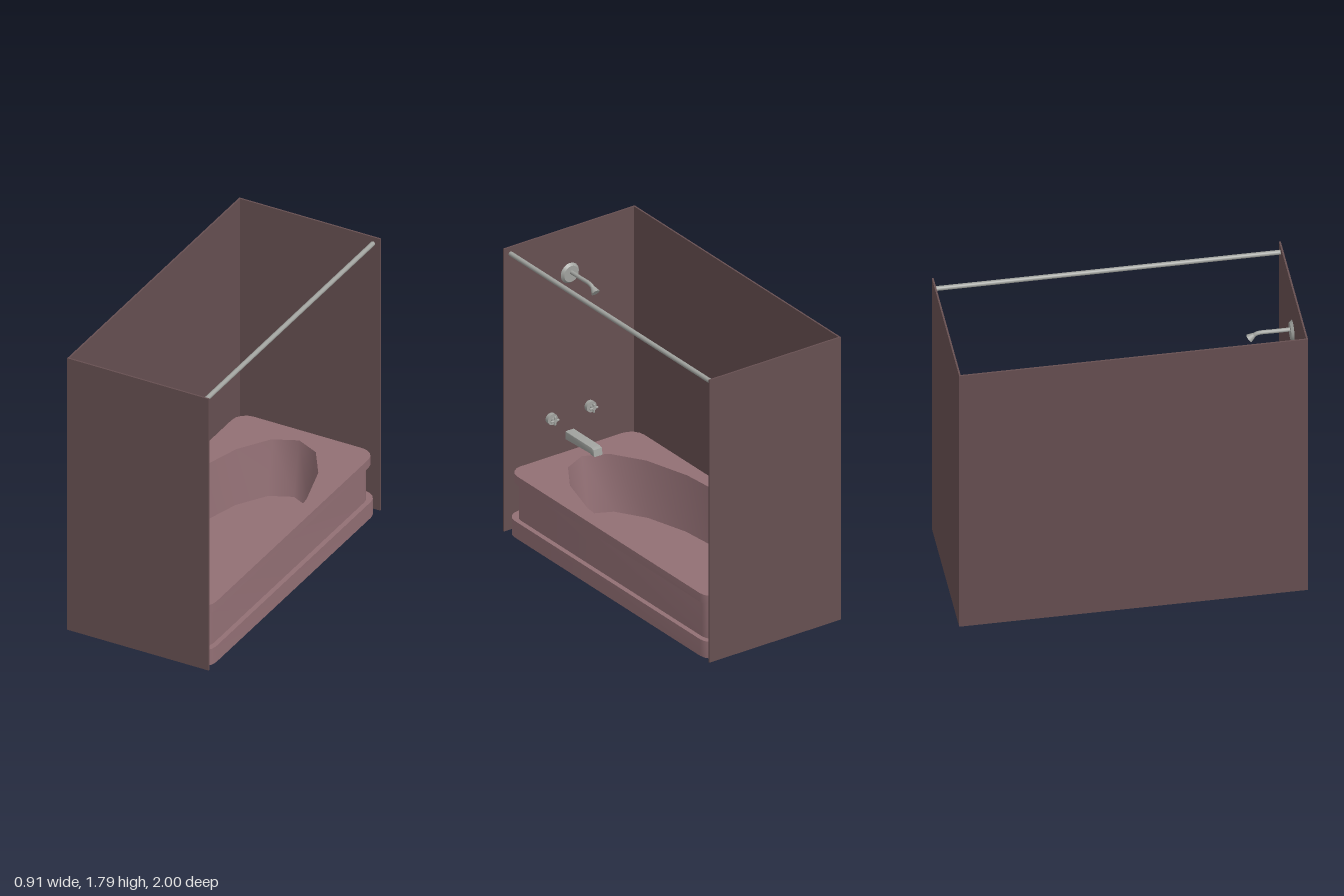
import * as THREE from 'three';
import { toCreasedNormals } from 'three/addons/utils/BufferGeometryUtils.js';

const material = (color) => new THREE.MeshStandardMaterial({ color });

function add(parent, name, geometry, mat, x = 0, y = 0, z = 0) {
  const mesh = new THREE.Mesh(geometry, mat);
  mesh.name = name;
  mesh.position.set(x, y, z);
  parent.add(mesh);
  return mesh;
}

// Rounded rectangle outline in x and z, from half sizes and corner radius
function roundedRect(hx, hz, r, n = 4) {
  const pts = [];
  for (let q = 0; q < 4; q++) {
    const cx = (q === 0 || q === 3 ? 1 : -1) * (hx - r);
    const cz = (q < 2 ? 1 : -1) * (hz - r);
    for (let i = 0; i <= n; i++) {
      const a = (q + i / n) * Math.PI / 2;
      pts.push(new THREE.Vector2(cx + r * Math.cos(a), cz + r * Math.sin(a)));
    }
  }
  return pts;
}

function ellipse(rx, rz, n = 16) {
  return Array.from({ length: n }, (_, i) => {
    const a = (i / n) * Math.PI * 2;
    return new THREE.Vector2(rx * Math.cos(a), rz * Math.sin(a));
  });
}

// Joins horizontal rings; faces point outward when rings run upward
function loft(rings) {
  const pos = [], index = [], n = rings[0].pts.length;
  rings.forEach(({ y, pts }) => pts.forEach((p) => pos.push(p.x, y, p.y)));
  for (let i = 0; i < rings.length - 1; i++) {
    for (let j = 0; j < n; j++) {
      const a = i * n + j, b = i * n + (j + 1) % n;
      index.push(a, a + n, b + n, a, b + n, b);
    }
  }
  const g = new THREE.BufferGeometry();
  g.setAttribute('position', new THREE.Float32BufferAttribute(pos, 3));
  g.setIndex(index);
  g.computeVertexNormals();
  return g;
}

// Flat upward-facing panel with an optional hole
function panel(outline, hole) {
  const shape = new THREE.Shape(outline);
  if (hole) shape.holes.push(new THREE.Path(hole));
  return new THREE.ShapeGeometry(shape).rotateX(-Math.PI / 2);
}

// Cylinder lying along z
const cylinderZ = (rFront, rBack, length, sides = 20) =>
  new THREE.CylinderGeometry(rFront, rBack, length, sides).rotateX(Math.PI / 2);

export function createModel() {
  const model = new THREE.Group();
  const wallMat = material(0x664f51);
  const tubMat = material(0x926f74);
  const metal = material(0xa0a29e);

  // Surround: one long wall and two end walls
  const walls = new THREE.Group();
  walls.name = 'surround';
  model.add(walls);
  add(walls, 'longWall', new THREE.BoxGeometry(0.01, 1.795, 2), wallMat, -0.452, 0.8975, 0);
  for (const s of [1, -1]) {
    add(walls, 'endWall', new THREE.BoxGeometry(0.914, 1.795, 0.01), wallMat, 0, 0.8975, s * 0.995);
  }

  // Tub: stepped outside, flat rim, oval basin
  const tub = new THREE.Group();
  tub.name = 'bathtub';
  model.add(tub);
  const base = roundedRect(0.45, 0.988, 0.09);
  const waist = roundedRect(0.42, 0.955, 0.08);
  const rim = roundedRect(0.442, 0.975, 0.09);
  const centre = base.map(() => new THREE.Vector2());
  const shell = loft([
    { y: 0, pts: centre }, { y: 0, pts: base },
    { y: 0.105, pts: base }, { y: 0.105, pts: waist },
    { y: 0.335, pts: waist }, { y: 0.335, pts: rim },
    { y: 0.39, pts: rim },
  ]);
  add(tub, 'tubShell', toCreasedNormals(shell, 0.7), tubMat);
  const mouth = ellipse(0.375, 0.875), floor = ellipse(0.347, 0.812);
  add(tub, 'tubRim', panel(rim, mouth), tubMat, 0, 0.39, 0);
  add(tub, 'basinWall', loft([{ y: 0.39, pts: mouth }, { y: 0.05, pts: floor }]), tubMat);
  add(tub, 'basinFloor', panel(floor), tubMat, 0, 0.05, 0);

  // Curtain rod
  add(model, 'curtainRod', cylinderZ(0.014, 0.014, 1.98, 16), metal, 0.412, 1.753, 0);

  // Shower: wall flange, bent arm, flared head
  const shower = new THREE.Group();
  shower.name = 'shower';
  model.add(shower);
  add(shower, 'showerFlange', cylinderZ(0.063, 0.05, 0.016, 24), metal, 0, 1.507, 0.982);
  const path = new THREE.CatmullRomCurve3([
    [1.518, 0.985], [1.518, 0.88], [1.518, 0.8], [1.512, 0.778], [1.498, 0.758],
  ].map(([y, z]) => new THREE.Vector3(0, y, z)));
  add(shower, 'showerArm', new THREE.TubeGeometry(path, 20, 0.012, 12), metal);
  const head = add(shower, 'showerHead', new THREE.CylinderGeometry(0.026, 0.013, 0.036, 16),
    metal, 0, 1.496, 0.754);
  head.quaternion.setFromUnitVectors(new THREE.Vector3(0, 1, 0),
    new THREE.Vector3(0, -0.6, -0.8));

  // Spout: side profile extruded across x
  const profile = new THREE.Shape([
    [0.99, 0.46], [0.99, 0.505], [0.74, 0.505], [0.722, 0.498], [0.716, 0.465],
    [0.745, 0.465], [0.755, 0.47],
  ].map(([z, y]) => new THREE.Vector2(-z, y)));
  const spout = new THREE.ExtrudeGeometry(profile, {
    depth: 0.042, bevelEnabled: true, bevelThickness: 0.009, bevelSize: 0.005, bevelSegments: 3,
  });
  spout.translate(0, 0, -0.021).rotateY(Math.PI / 2);
  add(model, 'spout', toCreasedNormals(spout, 0.6), metal);

  // Pair of taps
  for (const s of [1, -1]) {
    const tap = new THREE.Group();
    tap.name = 'tap';
    tap.position.set(s * 0.135, 0.625, 0);
    model.add(tap);
    add(tap, 'tapCollar', cylinderZ(0.034, 0.034, 0.024), metal, 0, 0, 0.978);
    add(tap, 'tapStem', cylinderZ(0.012, 0.012, 0.03, 12), metal, 0, 0, 0.953);
    for (const turn of [0, Math.PI / 2]) {
      const bar = add(tap, 'tapHandle', new THREE.CapsuleGeometry(0.007, 0.046, 4, 10), metal, 0, 0, 0.945);
      bar.rotation.z = turn;
    }
  }
  return model;
}
